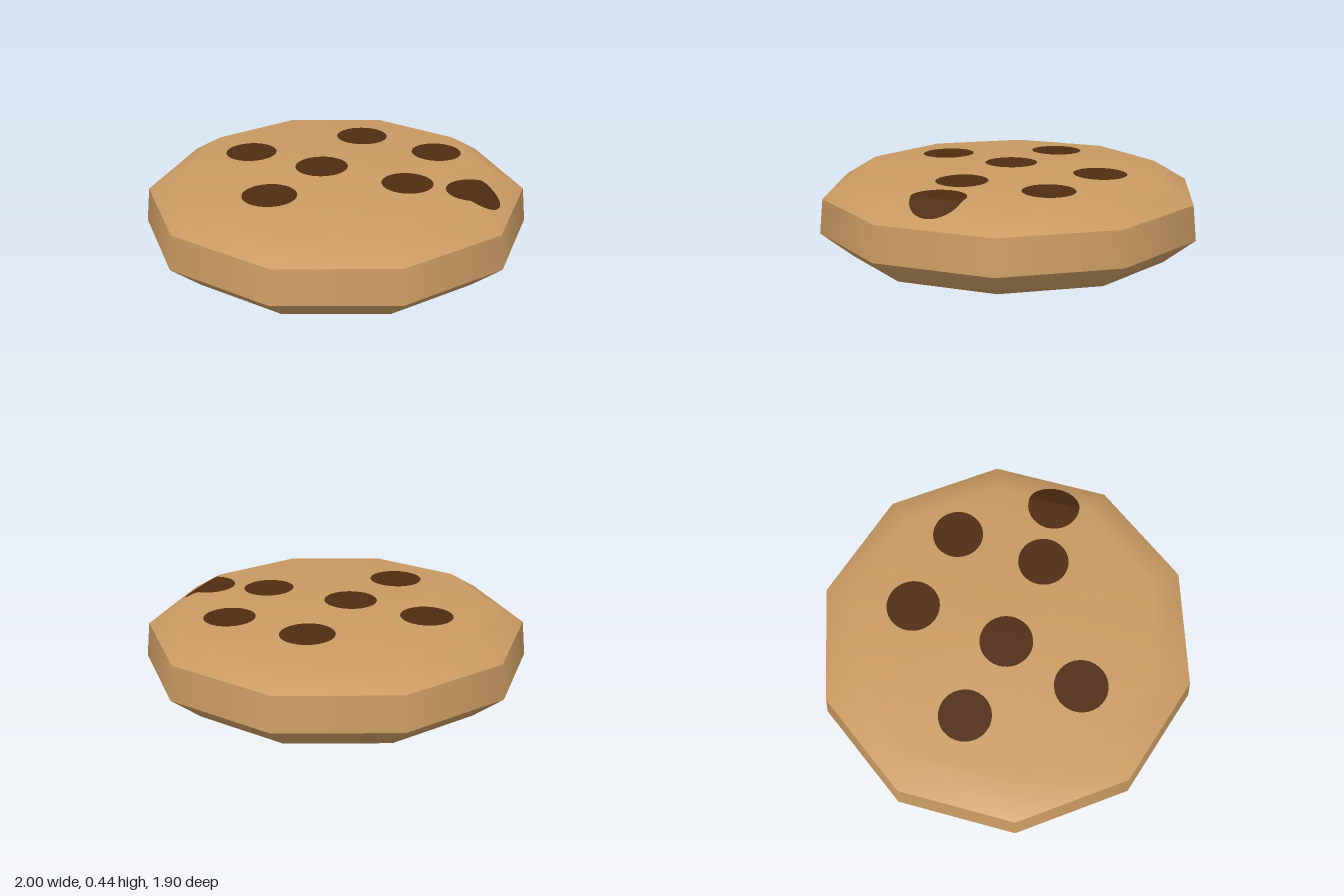
import * as THREE from 'three';

const SIDES = 10;
const STEP = (Math.PI * 2) / SIDES;

// Profile bands as [radius, y], bottom to top; normals are smooth within each band
const BANDS = {
  base: [[0, 0], [0.835, 0], [1, 0.13]],
  rim: [[1, 0.13], [0.982, 0.31]],
  top: [[0.982, 0.31], [0.8, 0.42], [0, 0.435]],
};

// Chocolate spots as [x, z, radius]
const SPOTS = [
  [0.145, -0.47, 0.138], [-0.455, -0.225, 0.135], [0.54, -0.225, 0.132],
  [-0.075, 0, 0.137], [0.36, 0.215, 0.132], [-0.33, 0.365, 0.138], [0.685, 0.29, 0.137],
];

// Height of the ten-sided top surface at a point
function topHeight(x, z) {
  let rho = 0;
  for (let i = 0; i < SIDES; i++) {
    const a = (i + 0.5) * STEP;
    rho = Math.max(rho, (x * Math.cos(a) + z * Math.sin(a)) / Math.cos(STEP / 2));
  }
  const [edge, shoulder, peak] = BANDS.top;
  const [p, q] = rho > shoulder[0] ? [edge, shoulder] : [shoulder, peak];
  return q[1] + ((p[1] - q[1]) * (rho - q[0])) / (p[0] - q[0]);
}

// Thin disc draped over the top surface
function spotGeometry(x, z, r) {
  const geo = new THREE.RingGeometry(0.001, r, 32, 12);
  geo.rotateX(-Math.PI / 2);
  geo.translate(x, 0, z);
  const pos = geo.attributes.position;
  for (let i = 0; i < pos.count; i++) {
    pos.setY(i, topHeight(pos.getX(i), pos.getZ(i)) + 0.004);
  }
  geo.computeVertexNormals();
  return geo;
}

export function createModel() {
  const dough = new THREE.MeshStandardMaterial({ name: 'dough', color: 0xc99a62 });
  const chocolate = new THREE.MeshStandardMaterial({ name: 'chocolate', color: 0x4f2c10 });
  const model = new THREE.Group();
  model.name = 'cookie';

  // Biscuit body, with corners on the x axis
  for (const [name, profile] of Object.entries(BANDS)) {
    const points = profile.map(([r, y]) => new THREE.Vector2(r, y));
    const mesh = new THREE.Mesh(new THREE.LatheGeometry(points, SIDES, STEP / 2), dough);
    mesh.name = name;
    model.add(mesh);
  }

  // Chocolate chips
  SPOTS.forEach(([x, z, r], i) => {
    const chip = new THREE.Mesh(spotGeometry(x, z, r), chocolate);
    chip.name = `chocolateChip${i + 1}`;
    model.add(chip);
  });
  return model;
}
